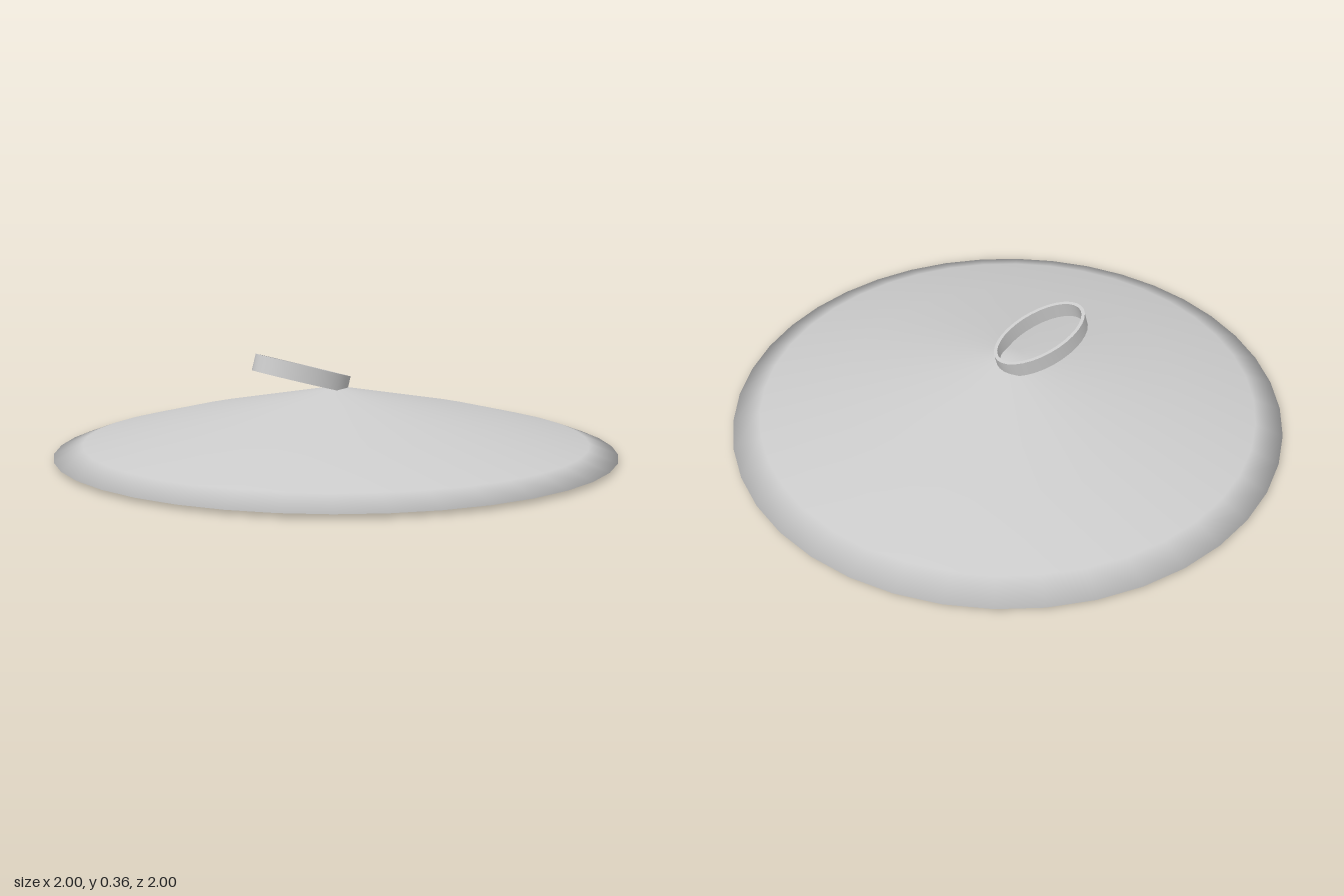
import * as THREE from 'three';
import { mergeVertices, toCreasedNormals } from 'three/addons/utils/BufferGeometryUtils.js';

export function createModel() {
  const group = new THREE.Group();
  const material = new THREE.MeshStandardMaterial({ color: 0xcccccc });

  // Shallow conical disc with a thin, softly shaded rim and a barely hollow underside
  const profile = [
    [0, 0.009], [0.6, 0.007], [0.9, 0], [1, 0.014],
    [0.9, 0.05], [0.6, 0.121], [0.05, 0.225], [0, 0.229],
  ].map(([r, y]) => new THREE.Vector2(r, y));
  const lathe = new THREE.LatheGeometry(profile, 40);
  // Weld the seam and poles so the peak is shaded smoothly
  lathe.deleteAttribute('normal');
  lathe.deleteAttribute('uv');
  const discGeometry = mergeVertices(lathe);
  discGeometry.computeVertexNormals();
  const disc = new THREE.Mesh(discGeometry, material);
  disc.name = 'conicalDisc';
  group.add(disc);

  // Thin-walled oval band, tilted and resting on the peak
  const rx = 0.187, rz = 0.114, wall = 0.013, height = 0.06;
  const oval = new THREE.Shape().absellipse(0, 0, rx, rz, 0, Math.PI * 2);
  oval.holes.push(new THREE.Path().absellipse(0, 0, rx - wall, rz - wall, 0, Math.PI * 2, true));
  const bandGeometry = new THREE.ExtrudeGeometry(oval, {
    depth: height, bevelEnabled: false, curveSegments: 16,
  });
  bandGeometry.translate(0, 0, -height / 2).rotateX(-Math.PI / 2);
  const band = new THREE.Mesh(toCreasedNormals(bandGeometry, 0.7), material);
  band.name = 'ovalBand';
  band.position.set(-0.115, 0.281, -0.044);
  band.rotation.z = -0.265;
  group.add(band);

  return group;
}
